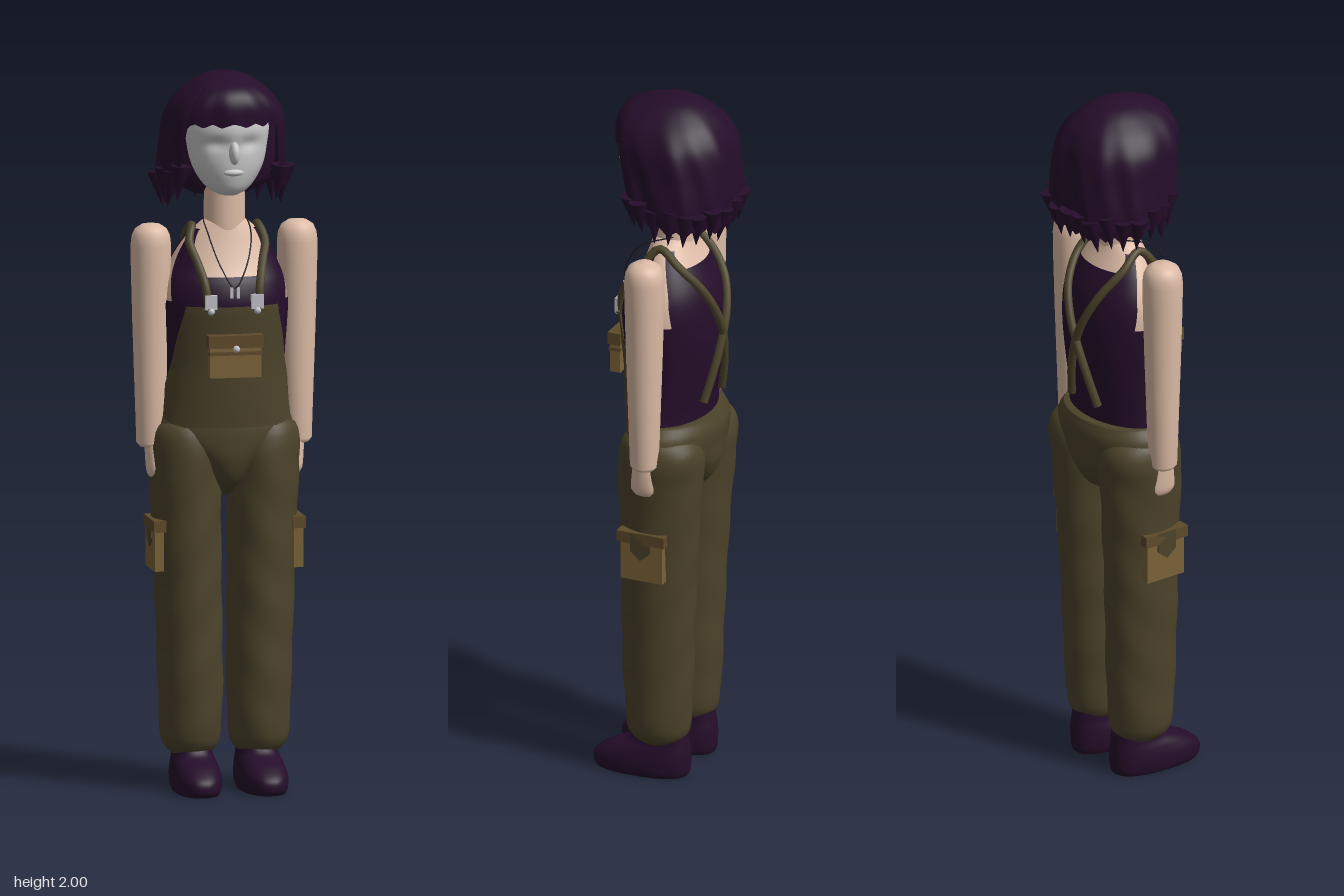
import * as THREE from 'three';
import { mergeVertices } from 'three/addons/utils/BufferGeometryUtils.js';

const mat = (name, color, side = THREE.FrontSide) => {
  const m = new THREE.MeshStandardMaterial({ color, side });
  m.name = name;
  return m;
};

// Smooth profile: rows of [y, front z, back z, half width], evaluated at any y
function profile(rows) {
  const n = rows.length - 1;
  const slope = (i, k) => {
    const a = rows[Math.max(i - 1, 0)], b = rows[Math.min(i + 1, n)];
    return (b[k] - a[k]) / (b[0] - a[0]);
  };
  const at = (y) => {
    let i = 0;
    while (i < n - 1 && y > rows[i + 1][0]) i++;
    const p = rows[i], q = rows[i + 1], h = q[0] - p[0];
    const t = Math.min(1, Math.max(0, (y - p[0]) / h)), t2 = t * t, t3 = t2 * t;
    return [1, 2, 3].map((k) => (2 * t3 - 3 * t2 + 1) * p[k] + (t3 - 2 * t2 + t) * h * slope(i, k)
      + (3 * t2 - 2 * t3) * q[k] + (t3 - t2) * h * slope(i + 1, k));
  };
  return { at, y0: rows[0][0], y1: rows[n][0] };
}

// Point on a profile; angle 0 faces front and grows toward +x
function ringPoint(prof, a, y, off = 0, e = 1) {
  const [f, b, r] = prof.at(y), c = Math.cos(a), s = Math.sin(a);
  const pw = (v) => Math.sign(v) * Math.abs(v) ** e;
  return new THREE.Vector3(pw(s) * (r + off), y, (f + b) / 2 + pw(c) * ((f - b) / 2 + off));
}

function surface(fn, nu, nv) {
  const pos = [], idx = [];
  for (let j = 0; j <= nv; j++) for (let i = 0; i <= nu; i++) pos.push(...fn(i / nu, j / nv).toArray());
  for (let j = 0; j < nv; j++) for (let i = 0; i < nu; i++) {
    const a = j * (nu + 1) + i, d = a + nu + 1;
    idx.push(a, a + 1, d + 1, a, d + 1, d);
  }
  let g = new THREE.BufferGeometry();
  g.setAttribute('position', new THREE.Float32BufferAttribute(pos, 3));
  g.setIndex(idx);
  g = mergeVertices(g, 1e-5);
  g.computeVertexNormals();
  return g;
}

// Closed solid from a profile; the end rows collapse to a point as caps
function solid(prof, { nu = 40, nv = 40, e = 1, warp = null } = {}) {
  return surface((u, v) => {
    const t = Math.min(1, Math.max(0, (v * (nv + 2) - 1) / nv));
    const y = prof.y0 + (prof.y1 - prof.y0) * t;
    const p = ringPoint(prof, (u % 1) * Math.PI * 2, y, 0, e);
    if (v === 0 || v === 1) { const [f, b] = prof.at(y); p.set(0, y, (f + b) / 2); }
    return warp ? warp(p) : p;
  }, nu, nv + 2);
}

// Strip of a profile between two angles that vary with height
const patch = (prof, y0, y1, a0, a1, off, nu = 32, nv = 20) => surface((u, v) => {
  const y = y0 + (y1 - y0) * v;
  return ringPoint(prof, a0(y) + (a1(y) - a0(y)) * u, y, off);
}, nu, nv);

const lerp = THREE.MathUtils.lerp;
const ramp = (x, x0, x1, v0, v1) => lerp(v0, v1, Math.min(1, Math.max(0, (x - x0) / (x1 - x0))));

export function createModel() {
  const D = THREE.DoubleSide;
  const skin = mat('skin', 0xdcbba6), face = mat('face', 0xc9c9c9), plum = mat('plum', 0x250d2a, D);
  const olive = mat('olive', 0x4c432a, D), tan = mat('tan', 0x7a6238), brown = mat('brown', 0x5e4a2a);
  const silver = mat('silver', 0xc0c0c8), black = mat('black', 0x222026);
  const model = new THREE.Group();
  const add = (name, geo, m, x = 0, y = 0, z = 0) => {
    const o = new THREE.Mesh(geo, m);
    o.name = name;
    o.position.set(x, y, z);
    model.add(o);
    return o;
  };
  const box = (w, h, d) => new THREE.BoxGeometry(w, h, d);

  // Torso
  const torso = profile([[1.02, .108, -.105, .175], [1.1, .113, -.11, .166], [1.2, .117, -.126, .165], [1.3, .126, -.136, .173],
    [1.37, .13, -.136, .176], [1.42, .118, -.13, .17], [1.46, .095, -.118, .155], [1.51, .074, -.092, .128], [1.56, .058, -.062, .09], [1.59, .05, -.05, .055]]);
  add('torso', solid(torso, { nv: 50 }), skin);
  add('neck', new THREE.CylinderGeometry(.056, .058, .2, 32), skin, 0, 1.6, 0);

  // Tank top: lower tube, chest, shoulder straps and back panel
  const outer = (y) => ramp(y, 1.36, 1.56, 1.08, 1.35), inner = (y) => ramp(y, 1.43, 1.56, .5, 1.0);
  add('shirtBody', patch(torso, 1.03, 1.37, () => -Math.PI, () => Math.PI, .004, 56), plum);
  add('shirtChest', patch(torso, 1.365, 1.44, (y) => -outer(y), outer, .004), plum);
  add('shirtBack', patch(torso, 1.365, 1.52, (y) => Math.PI - outer(y), (y) => Math.PI + outer(y), .004), plum);
  for (const s of [0, Math.PI]) for (const k of [-1, 1]) {
    const lo = k > 0 ? inner : outer, hi = k > 0 ? outer : inner;
    add('shirtStrap', patch(torso, 1.435, 1.565, (y) => s + k * lo(y), (y) => s + k * hi(y), .004, 10), plum);
  }

  // Overalls: bib, seat and legs
  const bibEdge = (y) => y > 1.2 ? ramp(y, 1.2, 1.36, 1.12, .74) : ramp(y, 1.05, 1.2, 1.65, 1.12);
  add('bib', patch(torso, 1.02, 1.36, (y) => -bibEdge(y), bibEdge, .012), olive);
  add('bibHem', patch(torso, 1.345, 1.362, (y) => -bibEdge(y), bibEdge, .015, 32, 2), olive);
  const seat = profile([[.82, .03, -.03, .012], [.86, .085, -.1, .05], [.92, .112, -.135, .11], [.98, .117, -.14, .195],
    [1.03, .115, -.143, .197], [1.068, .108, -.132, .172]]);
  add('seat', solid(seat), olive);
  const leg = profile([[.1, .06, -.06, .052], [.13, .086, -.084, .078], [.25, .1, -.095, .088], [.5, .105, -.105, .092],
    [.7, .108, -.115, .095], [.9, .11, -.13, .1], [.98, .106, -.135, .103], [1.03, .08, -.1, .08], [1.05, .02, -.03, .02]]);
  const shoe = profile([[0, .185, -.08, .06], [.015, .194, -.086, .066], [.045, .188, -.088, .068], [.075, .145, -.087, .063],
    [.1, .085, -.083, .056], [.14, .06, -.078, .054]]);
  const hand = profile([[.875, .025, -.03, .012], [.89, .038, -.038, .018], [.93, .036, -.036, .022], [.98, .03, -.03, .024]]);
  const armPts = [[0, .955], [.03, .958], [.04, .97], [.046, 1.15], [.051, 1.3], [.055, 1.45], [.056, 1.52],
    [.053, 1.546], [.044, 1.565], [.026, 1.577], [0, 1.58]].map((p) => new THREE.Vector2(...p));

  // Cargo flap tab outline
  const tab = new THREE.Shape([[-.03, .04], [-.03, -.015], [0, -.04], [.03, -.015], [.03, .04]].map((p) => new THREE.Vector2(...p)));
  const tabGeo = new THREE.ExtrudeGeometry(tab, { depth: .006, bevelEnabled: false });

  for (const s of [1, -1]) {
    const side = s > 0 ? 'left' : 'right';
    add(side + 'Leg', solid(leg, { nv: 60, warp: (p) => {
      const fold = 1 + .014 * Math.sin(p.y * 34 + p.x * 30 * s + p.z * 25);
      return p.set(p.x * fold + s * ramp(p.y, .3, .97, .096, .112), p.y, p.z * fold);
    } }), olive);
    add(side + 'Shoe', solid(shoe, { e: .85, warp: (p) => p.setX(p.x + s * (.091 + .02 * p.z)) }), plum);
    add(side + 'Arm', new THREE.LatheGeometry(armPts, 36), skin, s * .206, 0, -.004);
    add(side + 'Hand', solid(hand, { nu: 24, nv: 14 }), skin, s * .2, 0, 0);

    // Cargo pocket
    add(side + 'CargoPocket', box(.026, .115, .125), tan, s * .196, .675, .004);
    add(side + 'CargoFlap', box(.036, .032, .142), brown, s * .196, .744, .006);
    add(side + 'CargoTab', tabGeo, olive, s > 0 ? .208 : -.208, .72, .006).rotation.y = s * Math.PI / 2;

    // Shoulder strap, crossing on the back
    const on = (x, y, back) => {
      const a = Math.asin(Math.max(-1, Math.min(1, x / torso.at(y)[2])));
      return ringPoint(torso, back ? Math.PI - a : a, y, .012);
    };
    const path = [on(.065, 1.35), on(.072, 1.42), on(.085, 1.48), on(.096, 1.53), new THREE.Vector3(.092, 1.572, 0),
      on(.09, 1.53, true), on(.066, 1.46, true), on(.03, 1.38, true), on(0, 1.31, true), on(-.03, 1.22, true), on(-.055, 1.12, true)];
    path.forEach((p) => { p.x *= s; });
    add(side + 'Strap', new THREE.TubeGeometry(new THREE.CatmullRomCurve3(path), 60, .012, 10), olive);
    add(side + 'Buckle', box(.034, .04, .014), silver, s * .065, 1.375, .135);
    add(side + 'BuckleButton', new THREE.SphereGeometry(.01, 14, 10), silver, s * .065, 1.35, .14);
  }

  // Bib pouch
  add('pouch', box(.145, .11, .03), tan, 0, 1.222, .145);
  add('pouchFlap', box(.155, .035, .038), brown, 0, 1.268, .147);
  add('pouchTrim', box(.148, .01, .034), brown, 0, 1.235, .147);
  add('pouchButton', new THREE.SphereGeometry(.01, 14, 10), silver, 0, 1.248, .167);

  // Necklace and pendant
  const half = [[.035, 1.47, .13], [.06, 1.555, .075], [.052, 1.595, -.02]];
  const loop = [[0, 1.415, .146], ...half, [0, 1.6, -.062], ...half.map(([x, y, z]) => [-x, y, z]).reverse()];
  add('necklace', new THREE.TubeGeometry(new THREE.CatmullRomCurve3(loop.map((p) => new THREE.Vector3(...p)), true), 80, .002, 6, true), black);
  for (const x of [-.009, .009]) add('pendant', box(.008, .03, .008), silver, x, 1.402, .145);

  // Head
  const head = profile([[1.665, .09, -.01, .03], [1.68, .115, -.03, .055], [1.71, .128, -.05, .08], [1.75, .135, -.06, .1],
    [1.8, .137, -.07, .111], [1.86, .143, -.075, .115], [1.92, .12, -.06, .09], [1.95, .06, -.02, .03]]);
  add('head', solid(head, { warp: (p) => {
    // shallow eye sockets
    if (p.z > 0) for (const s of [1, -1]) p.z -= .012 * Math.exp(-(((p.x - s * .045) / .025) ** 2) - ((p.y - 1.815) / .018) ** 2);
    return p;
  } }), face);
  add('nose', new THREE.SphereGeometry(1, 20, 14), face, 0, 1.79, .138).scale.set(.015, .032, .026);
  add('lips', new THREE.SphereGeometry(1, 20, 12), face, 0, 1.735, .13).scale.set(.028, .01, .012);

  // Hair: wavy shell with fringe, inner mass and hanging locks
  const shell = profile([[1.62, .1, -.17, .165], [1.7, .122, -.182, .178], [1.8, .145, -.182, .172], [1.88, .156, -.17, .165],
    [1.93, .155, -.145, .138], [1.965, .13, -.11, .1], [1.988, .075, -.07, .063], [1.997, .035, -.035, .032], [2, 0, 0, 0]]);
  const wave = (a, y) => 1 + Math.min(1, (2 - y) * 6) * (.022 * Math.sin(7 * a + 1) + .016 * Math.sin(13 * a + 18 * y));
  const hairPoint = (a, y) => {
    const p = ringPoint(shell, a, y, 0, .9), w = wave(a, y);
    return p.set(p.x * w, y, p.z * w);
  };
  const hairEnd = (a) => {
    const m = Math.min(a, Math.PI * 2 - a);
    const jag = .022 * Math.abs(((a * 3.2) % 1) * 2 - 1);
    const low = ramp(m, .85, 1.9, 1.685, 1.645) + jag;
    return ramp(m, .8, .88, 1.862 + jag * .5, low);
  };
  add('hair', surface((u, v) => {
    const a = (u % 1) * Math.PI * 2, y0 = hairEnd(a);
    return v === 1 ? new THREE.Vector3(0, 2, 0) : hairPoint(a, y0 + (2 - y0) * Math.sin(v * Math.PI / 2));
  }, 180, 36), plum);
  const mass = profile([[1.655, .0, -.12, .08], [1.69, .03, -.155, .14], [1.8, .04, -.165, .155], [1.9, .04, -.15, .14], [1.95, .03, -.08, .07]]);
  add('innerHair', solid(mass), plum);
  for (let i = 0; i < 17; i++) {
    const a = .93 + i * (Math.PI * 2 - 1.86) / 16;
    const drop = ramp(Math.min(a, Math.PI * 2 - a), .9, 1.8, 1.7, 1.672) + .008 * Math.sin(i * 2.4);
    const p = hairPoint(a, drop);
    const lock = add('hairLock', new THREE.ConeGeometry(.028, .1, 10), plum, p.x * .95, drop - .005, p.z * .95);
    lock.rotation.set(Math.PI + .15 * Math.cos(a), 0, .15 * Math.sin(a + i));
  }
  return model;
}
